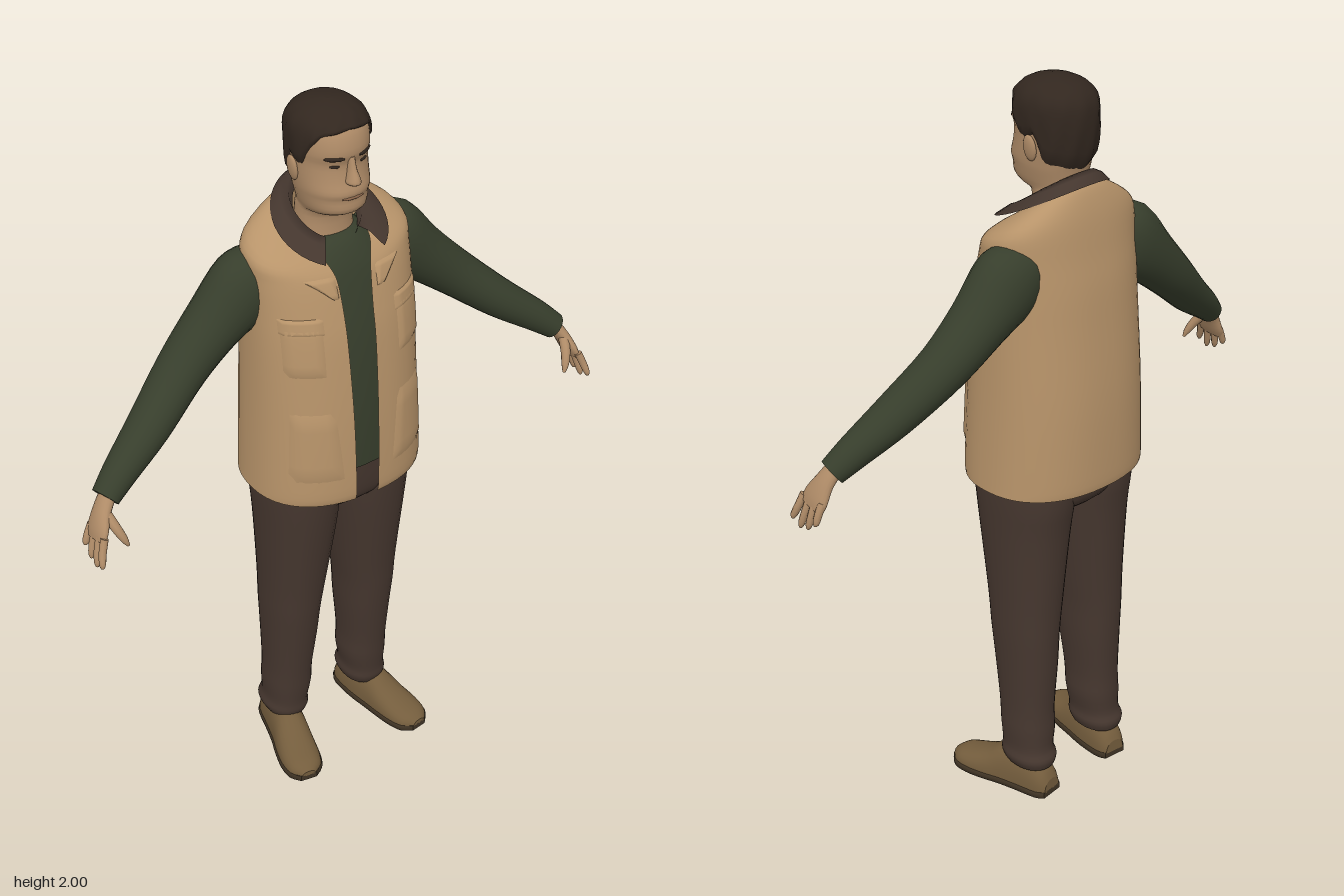
import * as THREE from 'three';

const mat = (name, color, side = THREE.FrontSide) => {
  const m = new THREE.MeshStandardMaterial({ color, side });
  m.name = name;
  return m;
};

// Catmull-Rom resampling of numeric rows
function smooth(rows, k = 3) {
  const out = [], at = i => rows[Math.min(rows.length - 1, Math.max(0, i))];
  for (let i = 0; i < rows.length - 1; i++) for (let j = 0; j < k; j++) {
    const t = j / k, [A, B, C, D] = [at(i - 1), at(i), at(i + 1), at(i + 2)];
    out.push(B.map((b, q) => 0.5 * (2 * b + (C[q] - A[q]) * t + (2 * A[q] - 5 * b + 4 * C[q] - D[q]) * t * t
      + (3 * b - A[q] - 3 * C[q] + D[q]) * t * t * t)));
  }
  out.push(at(rows.length - 1));
  return out;
}

// Surface through rows of points, optionally closed round and capped at the ends
function skin(rows, closed = true, caps = closed) {
  const pos = [], idx = [], n = rows[0].length, cols = closed ? n : n - 1;
  rows.forEach(r => r.forEach(p => pos.push(...p)));
  for (let i = 0; i < rows.length - 1; i++) for (let j = 0; j < cols; j++) {
    const a = i * n + j, b = i * n + (j + 1) % n;
    idx.push(a, b, b + n, a, b + n, a + n);
  }
  if (caps) [rows[0], rows[rows.length - 1]].forEach((r, e) => {
    const base = pos.length / 3;
    r.forEach(p => pos.push(...p));
    pos.push(...[0, 1, 2].map(q => r.reduce((s, p) => s + p[q], 0) / n));
    for (let j = 0; j < n; j++) {
      const a = base + j, b = base + (j + 1) % n;
      idx.push(...(e ? [a, b, base + n] : [b, a, base + n]));
    }
  });
  const g = new THREE.BufferGeometry();
  g.setAttribute('position', new THREE.Float32BufferAttribute(pos, 3));
  g.setIndex(idx);
  g.computeVertexNormals();
  return g;
}

// Point on a level section: row = [y, xMin, xMax, zBack, zFront, openMin, openMax, tilt]
const power = (v, n) => Math.sign(v) * Math.abs(v) ** (2 / n);
function onRing(r, a, n = 2, off = 0) {
  const x = (r[1] + r[2]) / 2 + (Math.max(0, (r[2] - r[1]) / 2) + off) * power(Math.sin(a), n);
  const z = (r[3] + r[4]) / 2 + (Math.max(0, (r[4] - r[3]) / 2) + off) * power(Math.cos(a), n);
  return [x, r[0] - (r[7] || 0) * z, z];
}
const around = seg => Array.from({ length: seg }, (_, j) => j / seg * Math.PI * 2);
const stack = (rows, n = 2, seg = 28, k = 3) => skin(smooth(rows, k).map(r => around(seg).map(a => onRing(r, a, n))));
function rowAt(rows, y) {
  let i = 0;
  while (i < rows.length - 2 && rows[i + 1][0] < y) i++;
  const t = Math.min(1, Math.max(0, (y - rows[i][0]) / (rows[i + 1][0] - rows[i][0])));
  return rows[i].map((v, q) => v + (rows[i + 1][q] - v) * t);
}

// Tube of varying oval section: row = [x, y, z, ru, rv], rv lies along ref
function limb(rows, ref, { seg = 18, k = 3, lo = -9, hi = 9, n = 2 } = {}) {
  const rs = smooth(rows, k), V = r => new THREE.Vector3(r[0], r[1], r[2]);
  return skin(rs.map((r, i) => {
    const T = V(rs[Math.min(i + 1, rs.length - 1)]).sub(V(rs[Math.max(i - 1, 0)])).normalize();
    const v = ref.clone().addScaledVector(T, -ref.dot(T)).normalize(), u = T.clone().cross(v);
    return around(seg).map(a => {
      const p = V(r).addScaledVector(u, r[3] * power(Math.sin(a), n)).addScaledVector(v, r[4] * power(Math.cos(a), n));
      return [p.x, Math.min(hi, Math.max(lo, p.y)), p.z];
    });
  }));
}
function mirror(geo) {
  const g = geo.clone().scale(-1, 1, 1), ix = g.index.array;
  for (let i = 0; i < ix.length; i += 3) [ix[i], ix[i + 1]] = [ix[i + 1], ix[i]];
  g.computeVertexNormals();
  return g;
}

export function createModel() {
  const root = new THREE.Group();
  root.name = 'man';
  const M = {
    skin: mat('skin', 0xb08c68), vest: mat('vestTan', 0xb8946a, THREE.DoubleSide), shirt: mat('shirtGreen', 0x373e2c),
    trousers: mat('trouserBrown', 0x46372f), collar: mat('collarBrown', 0x44362e, THREE.DoubleSide),
    hair: mat('hairBrown', 0x32271f), shoe: mat('shoeBrown', 0x745d3d), sole: mat('soleDark', 0x403425), lips: mat('lips', 0x8f694d),
  };
  const add = (name, geo, m) => {
    const mesh = new THREE.Mesh(geo, m);
    mesh.name = name;
    root.add(mesh);
  };
  const pair = (name, geo, m) => { add(name + 'Left', geo, m); add(name + 'Right', mirror(geo), m); };
  const X = new THREE.Vector3(1, 0, 0), Y = new THREE.Vector3(0, 1, 0), Z = new THREE.Vector3(0, 0, 1);
  const even = rows => rows.map(([y, x, b, f, ...rest]) => [y, -x, x, b, f, ...rest]);

  // Head and neck
  const headRows = even([[1.58, 0.085, -0.1, 0.05], [1.66, 0.074, -0.09, 0.04], [1.72, 0.07, -0.085, 0.045],
    [1.733, 0.071, -0.088, 0.085], [1.75, 0.077, -0.09, 0.108], [1.78, 0.084, -0.095, 0.108], [1.8, 0.087, -0.1, 0.113],
    [1.83, 0.089, -0.107, 0.104], [1.87, 0.09, -0.112, 0.098], [1.9, 0.092, -0.113, 0.106], [1.94, 0.09, -0.109, 0.098],
    [1.965, 0.078, -0.093, 0.083], [1.983, 0.054, -0.067, 0.058], [1.991, 0.026, -0.035, 0.027], [1.994, 0.002, -0.005, 0]]);
  add('head', stack(headRows, 2.15, 32), M.skin);
  const headFine = smooth(headRows), onHead = (a, y, off) => onRing(rowAt(headFine, y), a, 2.15, off);
  add('nose', stack(even([[1.822, 0.012, 0.08, 0.118], [1.83, 0.018, 0.08, 0.131], [1.842, 0.015, 0.08, 0.129],
    [1.865, 0.01, 0.08, 0.117], [1.893, 0.009, 0.08, 0.107]]), 2, 14), M.skin);
  const ear = new THREE.SphereGeometry(1, 14, 10).scale(0.009, 0.034, 0.021).rotateZ(-0.12).translate(0.092, 1.838, -0.012);
  pair('ear', ear, M.skin);
  const faceStrip = (a0, a1, y, h) => limb([0, 1, 2, 3, 4].map(i => [...onHead(a0 + (a1 - a0) * i / 4, y, 0),
    h * (i % 4 ? 1 : 0.5), 0.003]), Z, { seg: 10 });
  pair('eyebrow', faceStrip(0.2, 0.72, 1.892, 0.005), M.hair);
  pair('eye', faceStrip(0.3, 0.55, 1.87, 0.004), M.hair);
  add('mouth', faceStrip(-0.3, 0.3, 1.787, 0.004), M.lips);

  // Short hair with a shaped hairline
  const line = [[0, 1.955], [0.75, 1.945], [1.1, 1.91], [1.35, 1.85], [1.7, 1.87], [2, 1.8], [3.2, 1.775]];
  const hairRows = [];
  for (let i = 0; i <= 14; i++) hairRows.push(around(48).map(a => {
    const d = Math.min(a, Math.PI * 2 - a), t = i / 14;
    let s = 0;
    while (line[s + 1][0] < d) s++;
    const low = line[s][1] + (line[s + 1][1] - line[s][1]) * (d - line[s][0]) / (line[s + 1][0] - line[s][0]);
    const off = i ? 0.006 + 0.003 * Math.sin(a * 12) * Math.sin(t * 9) * (1 - t) : -0.003;
    const p = onHead(a, low + (1.994 - low) * Math.sin(t * Math.PI / 2), off);
    p[1] += 0.006 * t;
    return p;
  }));
  add('hair', skin(hairRows), M.hair);

  // Shirt body and sleeves
  add('shirt', stack(even([[1.03, 0.2, -0.16, 0.168], [1.2, 0.2, -0.165, 0.165], [1.4, 0.198, -0.15, 0.145],
    [1.55, 0.185, -0.135, 0.112], [1.61, 0.13, -0.11, 0.09], [1.645, 0.088, -0.09, 0.066], [1.655, 0.068, -0.07, 0.045]]), 2.2), M.shirt);
  pair('sleeve', limb([[0.15, 1.575, -0.045, 0.07, 0.07], [0.205, 1.535, -0.047, 0.1, 0.08], [0.3, 1.457, -0.045, 0.076, 0.074],
    [0.4, 1.37, -0.03, 0.063, 0.066], [0.52, 1.27, 0.012, 0.053, 0.058], [0.62, 1.197, 0.046, 0.043, 0.045],
    [0.675, 1.153, 0.066, 0.035, 0.037]], Z, { seg: 22, k: 4 }), M.shirt);

  // Hands
  pair('palm', limb([[0.66, 1.17, 0.062, 0.02, 0.024], [0.69, 1.13, 0.076, 0.018, 0.03], [0.71, 1.09, 0.088, 0.016, 0.042],
    [0.72, 1.065, 0.094, 0.011, 0.04]], Z), M.skin);
  for (let i = 0; i < 4; i++) {
    const z = 0.06 + i * 0.023, l = [0.055, 0.075, 0.082, 0.068][i], f = (i - 1) * 0.006;
    pair('finger' + (i + 1), limb([[0.715, 1.085, z, 0.01, 0.011], [0.728, 1.085 - l * 0.5, z + f * 0.5 + 0.004, 0.01, 0.01],
      [0.735, 1.085 - l * 0.85, z + f + 0.008, 0.008, 0.009], [0.737, 1.085 - l, z + f + 0.01, 0.004, 0.004]], Z, { seg: 10 }), M.skin);
  }
  pair('thumb', limb([[0.69, 1.13, 0.09, 0.014, 0.014], [0.68, 1.1, 0.118, 0.013, 0.013], [0.668, 1.07, 0.136, 0.01, 0.01],
    [0.66, 1.05, 0.143, 0.004, 0.004]], X, { seg: 10 }), M.skin);

  // Open vest
  const N = 2.3, vestRows = smooth(even([[0.955, 0.24, -0.195, 0.195, -0.04, 0.025, 0], [1, 0.238, -0.198, 0.2, -0.04, 0.025, 0],
    [1.2, 0.23, -0.195, 0.19, -0.042, 0.028, 0], [1.4, 0.225, -0.178, 0.168, -0.046, 0.032, 0], [1.5, 0.222, -0.168, 0.148, -0.048, 0.034, 0],
    [1.58, 0.221, -0.155, 0.125, -0.052, 0.042, 0], [1.637, 0.215, -0.14, 0.105, -0.06, 0.055, 0.25],
    [1.673, 0.15, -0.12, 0.085, -0.072, 0.07, 0.5], [1.685, 0.095, -0.1, 0.07, -0.078, 0.078, 0.7]]), 4);
  const angleAt = (x, rx) => Math.sign(x) * Math.asin(Math.min(1, Math.abs(x) / rx) ** (N / 2));
  add('vest', skin(vestRows.map(r => {
    const a0 = angleAt(r[6], r[2]), a1 = Math.PI * 2 + angleAt(r[5], r[2]);
    return Array.from({ length: 49 }, (_, j) => onRing(r, a0 + (a1 - a0) * j / 48, N));
  }), false), M.vest);

  // Thin cloth patches following the vest front: x ranges at the bottom and top
  const patch = (bot, top, y0, y1) => skin(Array.from({ length: 9 }, (_, i) => Array.from({ length: 9 }, (_, j) => {
    const t = i / 8, y = y0 + (y1 - y0) * t, r = rowAt(vestRows, y);
    const x = THREE.MathUtils.lerp(THREE.MathUtils.lerp(bot[0], top[0], t), THREE.MathUtils.lerp(bot[1], top[1], t), j / 8);
    const edge = i % 8 === 0 || j % 8 === 0;
    return onRing(r, angleAt(x, r[2]), N, edge ? -0.001 : 0.005);
  })), false);
  pair('chestPocket', patch([0.105, 0.195], [0.105, 0.195], 1.34, 1.49), M.vest);
  pair('pocketFlap', patch([0.1, 0.198], [0.1, 0.198], 1.455, 1.5), M.vest);
  pair('sidePocket', patch([0.07, 0.2], [0.09, 0.19], 1.03, 1.24), M.vest);
  pair('lapel', patch([0.055, 0.068], [0.056, 0.14], 1.535, 1.6), M.vest);

  // Folded collar, wider towards the front points
  const collarRow = j => Array.from({ length: 41 }, (_, i) => {
    const a = 0.55 + (Math.PI * 2 - 1.1) * i / 40, w = (1 + Math.cos(a)) / 2;
    const r = [0.078, 0.088, 0.104 + 0.015 * w, 0.12 + 0.042 * w][j];
    const dy = [-0.025, 0.01, 0.004, -0.015 - 0.012 * w][j];
    return [r * Math.sin(a), 1.705 - 0.6 * (-0.01 + 0.1 * Math.cos(a)) + dy, -0.015 + r * Math.cos(a)];
  });
  add('collar', skin([3, 2, 1, 0].map(collarRow), false), M.collar);

  // Trousers
  add('trouserSeat', stack(even([[0.87, 0.1, -0.11, 0.1], [0.9, 0.18, -0.14, 0.135], [0.95, 0.21, -0.15, 0.148], [1.05, 0.2, -0.15, 0.155]]), 2.3), M.trousers);
  pair('trouserLeg', stack([[0.085, 0.075, 0.185, -0.112, 0.035], [0.11, 0.066, 0.195, -0.118, 0.045], [0.14, 0.07, 0.188, -0.106, 0.045],
    [0.2, 0.06, 0.19, -0.106, 0.052], [0.27, 0.06, 0.188, -0.104, 0.058], [0.4, 0.048, 0.192, -0.11, 0.075], [0.5, 0.042, 0.196, -0.114, 0.088],
    [0.6, 0.03, 0.198, -0.118, 0.1], [0.8, 0.008, 0.206, -0.132, 0.13], [0.9, 0.0, 0.211, -0.146, 0.143], [0.96, 0.0, 0.212, -0.148, 0.148]], 2.2), M.trousers);

  // Shoes with flat soles: x, z, half width, height
  const shoe = [[0.125, -0.12, 0.03, 0.05], [0.128, -0.095, 0.044, 0.09], [0.137, -0.03, 0.05, 0.115], [0.15, 0.03, 0.052, 0.108],
    [0.163, 0.08, 0.056, 0.078], [0.175, 0.13, 0.056, 0.058], [0.183, 0.17, 0.046, 0.046], [0.187, 0.194, 0.02, 0.03]];
  pair('shoe', limb(shoe.map(([x, z, w, h]) => [x, 0.015, z, w, h - 0.015]), Y, { lo: 0.015, seg: 24, n: 2.3 }), M.shoe);
  pair('sole', limb(shoe.map(([x, z, w]) => [x, 0.01, z, w + 0.004, 0.1]), Y, { lo: 0, hi: 0.018, seg: 24 }), M.sole);
  return root;
}
